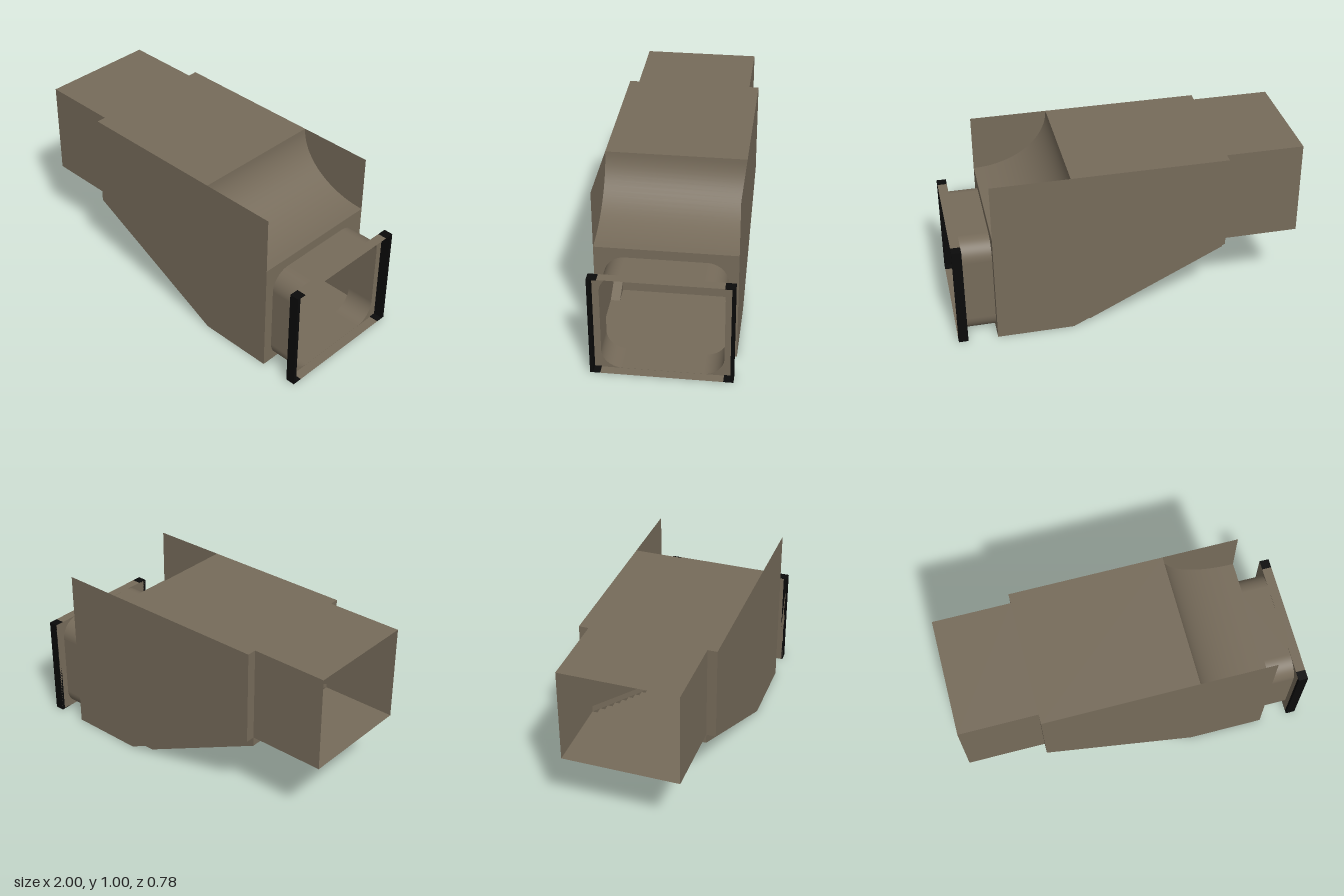
import * as THREE from 'three';
import { mergeVertices } from 'three/addons/utils/BufferGeometryUtils.js';

const W = 0.39;      // half width of the main housing
const N = 0.335;     // half width of the narrow parts
const XB = -0.555;   // where the rear duct meets the housing
const XF = 0.775;    // front face of the housing
const TUBE_TOP = 0.612;

// Sheet made by sweeping a polyline in x,y from z0 to z1 (clockwise faces outward)
function sweep(points, z0, z1, smooth = false) {
  const pos = [];
  for (let i = 0; i < points.length - 1; i++) {
    const [a, b] = points[i], [c, d] = points[i + 1];
    pos.push(a, b, z1, c, d, z1, c, d, z0, a, b, z1, c, d, z0, a, b, z0);
  }
  let geo = new THREE.BufferGeometry();
  geo.setAttribute('position', new THREE.Float32BufferAttribute(pos, 3));
  if (smooth) geo = mergeVertices(geo, 1e-4);
  geo.computeVertexNormals();
  return geo;
}

function outline(points) {
  return new THREE.Shape(points.map(([x, y]) => new THREE.Vector2(x, y)));
}

// Rounded opening shared by the face, tube and collar
function roundedOpening(Path, y0) {
  const r = 0.115, p = new Path();
  p.moveTo(-N + r, y0);
  p.lineTo(N - r, y0);
  p.absarc(N - r, y0 + r, r, -Math.PI / 2, 0);
  p.lineTo(N, TUBE_TOP - r);
  p.absarc(N - r, TUBE_TOP - 0.001 - r, r, 0, Math.PI / 2);
  p.lineTo(-N + r, TUBE_TOP - 0.001);
  p.absarc(-N + r, TUBE_TOP - 0.001 - r, r, Math.PI / 2, Math.PI);
  p.lineTo(-N, y0 + r);
  p.absarc(-N + r, y0 + r, r, Math.PI, Math.PI * 1.5);
  return p;
}

// Flat plate facing +x with the rounded opening cut out
function openPlate(height, x) {
  const s = outline([[-W, 0], [W, 0], [W, height], [-W, height]]);
  s.holes.push(roundedOpening(THREE.Path, 0.001));
  return new THREE.ShapeGeometry(s, 10).rotateY(Math.PI / 2).translate(x, 0, 0);
}

export function createModel() {
  const group = new THREE.Group();
  const taupe = new THREE.MeshStandardMaterial({ color: 0x766b5a, side: THREE.DoubleSide });
  taupe.name = 'taupe';
  const black = new THREE.MeshStandardMaterial({ color: 0x0a0a0a, side: THREE.DoubleSide });
  black.name = 'black';
  const add = (name, geo, mat = taupe) => {
    const mesh = new THREE.Mesh(geo, mat);
    mesh.name = name;
    group.add(mesh);
    return mesh;
  };

  // Rear duct, open at its end
  add('ductRoof', sweep([[-1, 1], [XB, 1]], -N, N));
  add('ductFloor', sweep([[XB, 0.445], [-1, 0.445]], -N, N));

  // Housing roof and scooped front
  add('housingRoof', sweep([[XB, 1], [0.333, 1]], -W, W));
  const scoop = [];
  for (let i = 0; i <= 20; i++) {
    const a = (i / 20) * Math.PI / 2;
    scoop.push([XF - 0.442 * Math.cos(a), 1 - 0.333 * Math.sin(a)]);
  }
  add('scoop', sweep(scoop, -W, W, true));
  add('frontFace', openPlate(0.667, XF));

  // Floor and stepped underside
  add('housingFloor', sweep([[XF, 0], [0.333, 0]], -W, W));
  const steps = [[0.333, 0]];
  for (let i = 0; i < 8; i++) {
    const x = 0.222 - i * 0.111;
    steps.push([x, i * 0.0556], [x, (i + 1) * 0.0556]);
  }
  add('steps', sweep(steps, -N, N));

  for (const side of [1, -1]) {
    const label = side > 0 ? 'front' : 'back';
    const panel = (name, pts, z) => {
      const geo = new THREE.ShapeGeometry(outline(pts));
      if (side < 0) geo.rotateY(Math.PI).scale(-1, 1, 1);
      if (side < 0) {
        // restore outward winding after the mirror
        const idx = geo.index;
        for (let i = 0; i < idx.count; i += 3) {
          const t = idx.getX(i);
          idx.setX(i, idx.getX(i + 1));
          idx.setX(i + 1, t);
        }
      }
      geo.translate(0, 0, side * z);
      add(label + name, geo);
    };
    panel('DuctWall', [[-1, 0.445], [XB, 0.445], [XB, 1], [-1, 1]], N);
    panel('HousingWall', [[XB, 0.445], [0.333, 0], [XF, 0], [XF, 1], [XB, 1]], W);
    panel('StepStringer', [[XB, 0.445], [XB, 0.389], [0.222, 0], [0.333, 0]], N);

    // Narrow ledge and rim closing the gap between the two widths
    const z0 = side > 0 ? N : -W, z1 = side > 0 ? W : -N;
    add(label + 'LedgeAndRim', sweep([[0.333, 0], [XB, 0.445], [XB, 1]], z0, z1));

    // Black collar post with its top and bottom tabs
    add(label + 'CollarPost', new THREE.BoxGeometry(0.055, TUBE_TOP, 0.018)
      .translate(0.9725, TUBE_TOP / 2, side * (W - 0.009)), black);
    for (const y of [0.002, TUBE_TOP - 0.002]) {
      add(label + 'CollarTab', new THREE.BoxGeometry(0.055, 0.004, W - N)
        .translate(0.9725, y, side * (W + N) / 2), black);
    }
  }

  // Rounded connecting tube
  const ring = roundedOpening(THREE.Shape, 0.001).getPoints(10)
    .reverse().map(p => [p.x, p.y]);
  add('connectingTube', sweep(ring, XF, 0.945, true).rotateY(Math.PI / 2));

  // Collar plate with top and bottom lips
  add('collarPlate', openPlate(TUBE_TOP, 0.945));
  add('collarTopLip', sweep([[0.945, TUBE_TOP], [1, TUBE_TOP]], -N, N));
  add('collarBottomLip', sweep([[1, 0], [0.945, 0]], -N, N));

  return group;
}
